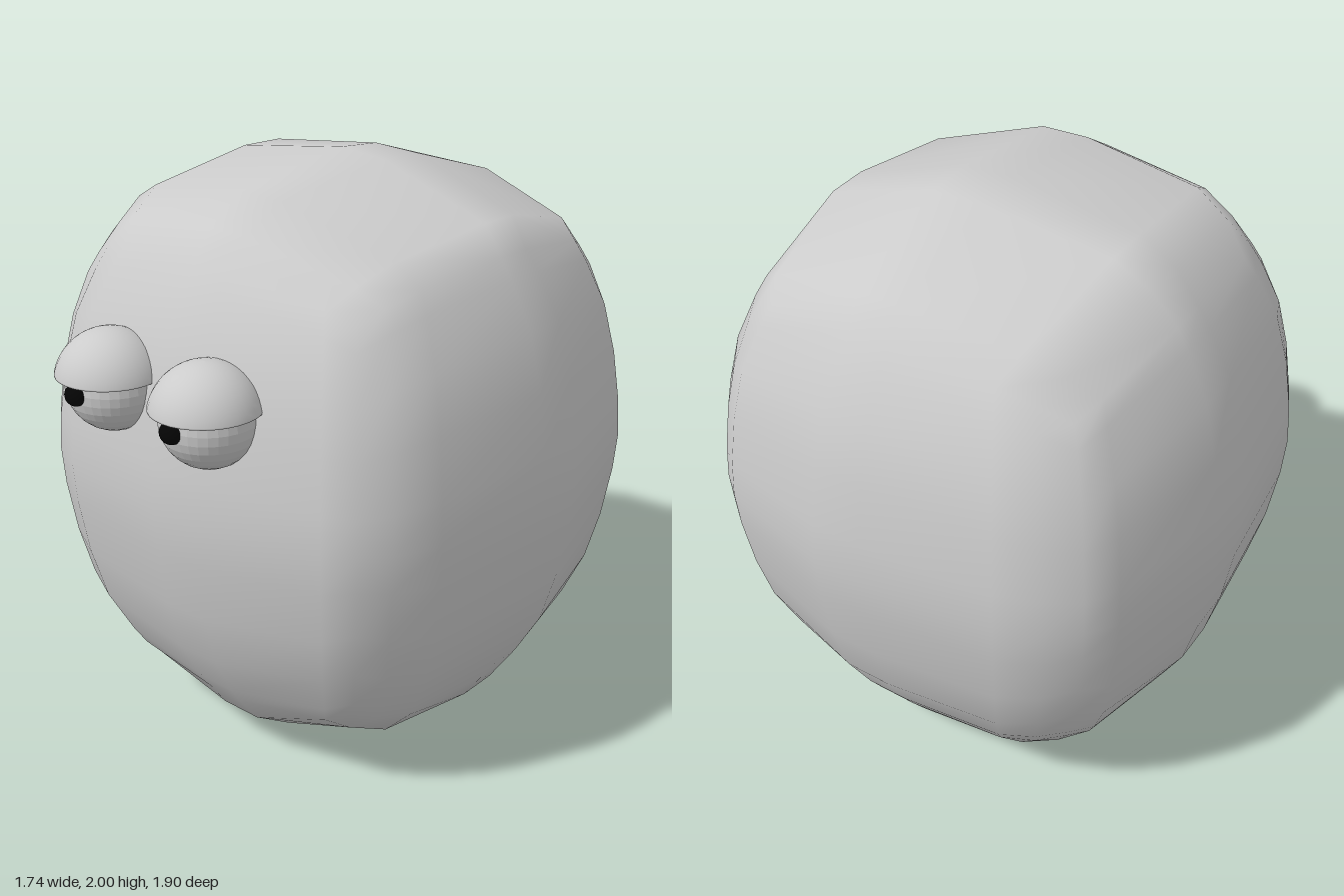
import * as THREE from 'three';
import { mergeVertices } from 'three/addons/utils/BufferGeometryUtils.js';

const grey = new THREE.MeshStandardMaterial({ color: 0xcccccc });
const facetedGrey = new THREE.MeshStandardMaterial({ color: 0xcccccc, flatShading: true });
const black = new THREE.MeshStandardMaterial({ color: 0x050505 });

// Body width (fraction of the full width) at a height above or below the middle
const PROFILE = [[0, 1], [0.15, 0.989], [0.35, 0.954], [0.54, 0.897], [0.7, 0.797],
  [0.85, 0.68], [0.94, 0.517], [0.985, 0.207], [1, 0]];

function widthAt(y) {
  for (let i = 1; i < PROFILE.length; i++) {
    const [y0, w0] = PROFILE[i - 1], [y1, w1] = PROFILE[i];
    if (y <= y1) return w0 + (w1 - w0) * (y - y0) / (y1 - y0);
  }
  return 0;
}

// Distance along a ray from the centre to the rounded-square body surface
function reach(x, y, z) {
  const h = Math.cbrt(Math.abs(x) ** 3 + Math.abs(z) ** 3);
  let lo = 0, hi = 1.2;
  for (let i = 0; i < 30; i++) {
    const t = (lo + hi) / 2;
    if (t * Math.abs(y) <= 1 && t * h <= widthAt(t * Math.abs(y))) lo = t; else hi = t;
  }
  return lo;
}

// Cube with uneven grid lines, inflated to the body surface
function bodyGeometry() {
  const xLines = [-1, -0.77, -0.55, 0, 0.21, 0.8, 1];
  const yLines = [-1, -0.86, -0.6, -0.37, -0.15, 0, 0.15, 0.37, 0.6, 0.86, 1];
  const zLines = [-1, -0.79, -0.2, 0, 0.56, 0.8, 1];
  const snap = (v, lines) => lines[Math.round((v + 1) / 2 * (lines.length - 1))];
  let geo = new THREE.BoxGeometry(2, 2, 2, 6, 10, 6);
  geo.deleteAttribute('normal');
  geo.deleteAttribute('uv');
  const p = geo.attributes.position;
  for (let i = 0; i < p.count; i++) {
    const x = snap(p.getX(i), xLines), y = snap(p.getY(i), yLines), z = snap(p.getZ(i), zLines);
    const t = reach(x, y, z);
    p.setXYZ(i, x * t * 0.87, y * t, z * t * 0.88);
  }
  geo = mergeVertices(geo, 1e-4);
  geo.computeVertexNormals();
  return geo;
}

// Domed lid with a small rounded rim and a flat underside
function lidGeometry() {
  const pts = [new THREE.Vector2(0, 0.034), new THREE.Vector2(0.168, 0.034),
    new THREE.Vector2(0.168, 0.034), new THREE.Vector2(0.176, 0.036)];
  for (let i = 0; i <= 12; i++) {
    const a = 0.23 + (Math.PI / 2 - 0.23) * i / 12;
    pts.push(new THREE.Vector2(i === 12 ? 0 : 0.181 * Math.cos(a), 0.181 * Math.sin(a)));
  }
  return new THREE.LatheGeometry(pts, 32);
}

function addMesh(parent, name, geometry, material, x, y, z) {
  const mesh = new THREE.Mesh(geometry, material);
  mesh.name = name;
  mesh.position.set(x, y, z);
  parent.add(mesh);
}

export function createModel() {
  const model = new THREE.Group();
  model.name = 'sleepyCreature';
  addMesh(model, 'body', bodyGeometry(), grey, 0, 1, -0.07);

  // Eyes sunk into the front of the body
  const ball = new THREE.SphereGeometry(0.155, 32, 16);
  const pupil = new THREE.SphereGeometry(0.037, 16, 12);
  const lid = lidGeometry();
  for (const [name, x] of [['leftEye', 0.22], ['rightEye', -0.215]]) {
    const eye = new THREE.Group();
    eye.name = name;
    eye.position.set(x, 1.36, 0.76);
    addMesh(eye, 'eyeball', ball, facetedGrey, 0, 0, 0);
    addMesh(eye, 'pupil', pupil, black, 0, 0, 0.15);
    addMesh(eye, 'eyelid', lid, grey, 0, 0, 0.01);
    model.add(eye);
  }
  return model;
}
